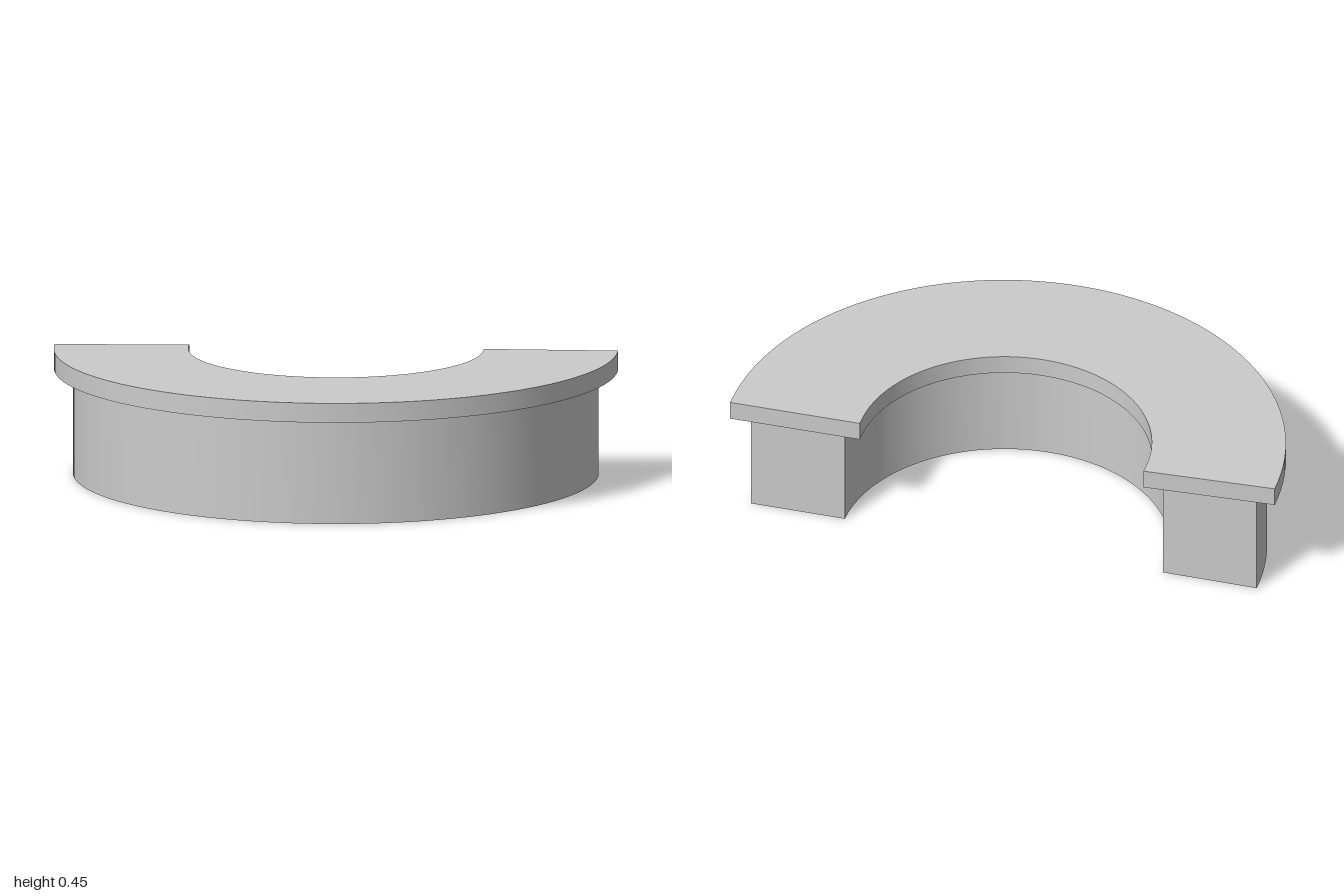
import * as THREE from 'three';
import { toCreasedNormals } from 'three/addons/utils/BufferGeometryUtils.js';

const material = new THREE.MeshStandardMaterial({ color: 0xcccccc });

// Half ring open to the back, with short straight ends beyond the half circle
function halfRing(name, { outer, inner, outerZ, innerZ, outerEnd, innerEnd, bottom, top }) {
  const shape = new THREE.Shape();
  shape.moveTo(-outer, -outerEnd);
  shape.absarc(0, -outerZ, outer, Math.PI, 2 * Math.PI, false);
  shape.lineTo(outer, -outerEnd);
  shape.lineTo(inner, -innerEnd);
  shape.absarc(0, -innerZ, inner, 0, -Math.PI, true);
  shape.lineTo(-inner, -innerEnd);
  shape.closePath();
  const geometry = new THREE.ExtrudeGeometry(shape, {
    depth: top - bottom, bevelEnabled: false, curveSegments: 32,
  });
  geometry.rotateX(-Math.PI / 2).translate(0, bottom, 0);
  const mesh = new THREE.Mesh(toCreasedNormals(geometry, 0.5), material);
  mesh.name = name;
  return mesh;
}

export function createModel() {
  const group = new THREE.Group();
  group.name = 'curvedCounter';

  // Solid base
  group.add(halfRing('base', {
    outer: 0.932, inner: 0.587, outerZ: -0.48, innerZ: -0.475,
    outerEnd: -0.482, innerEnd: -0.48, bottom: 0, top: 0.378,
  }));

  // Overhanging top slab
  group.add(halfRing('counterTop', {
    outer: 1, inner: 0.523, outerZ: -0.485, innerZ: -0.478,
    outerEnd: -0.516, innerEnd: -0.511, bottom: 0.378, top: 0.448,
  }));

  return group;
}
